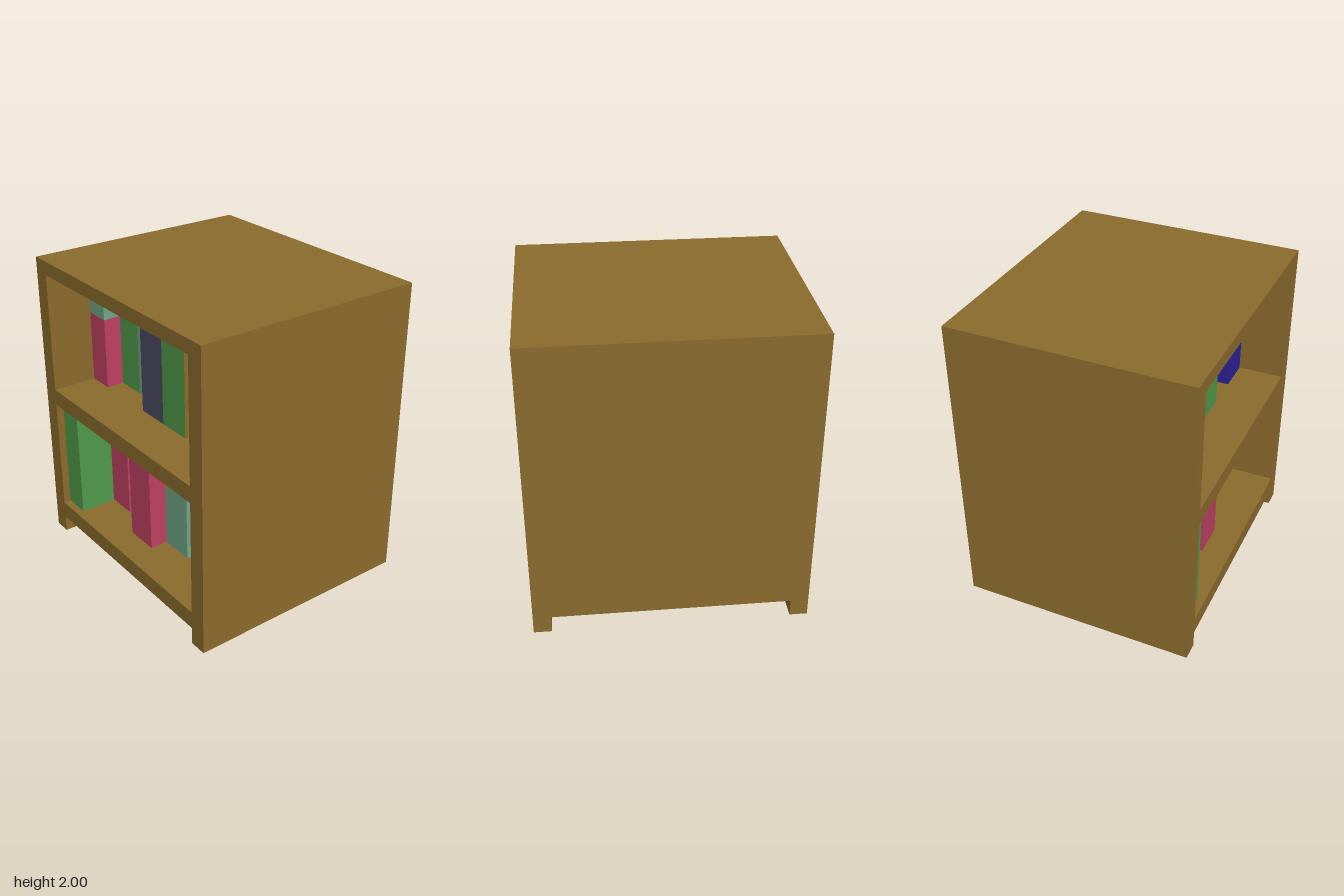
import * as THREE from 'three';

const mat = (name, color) => {
  const m = new THREE.MeshStandardMaterial({ color });
  m.name = name;
  return m;
};

export function createModel() {
  const wood = mat('wood', 0x8b6b2d);
  const green = mat('green', 0x50994a);
  const red = mat('red', 0xbe4060);
  const sage = mat('sage', 0x72a487);
  const slate = mat('slate', 0x4b4a62);
  const blue = mat('blue', 0x2d2097);

  const model = new THREE.Group();
  model.name = 'bookcase';

  const W = 0.88, D = 0.77, IN = 0.765, BACK = -0.65;
  const shelves = [[0.23, 1.0], [1.11, 1.91]];

  // Outline with two side feet
  const outline = () => new THREE.Shape([
    [-W, 0], [-IN, 0], [-IN, 0.115], [IN, 0.115], [IN, 0], [W, 0], [W, 2], [-W, 2],
  ].map(([x, y]) => new THREE.Vector2(x, y)));

  const slab = (name, shape, z0, z1) => {
    const geo = new THREE.ExtrudeGeometry(shape, { depth: z1 - z0, bevelEnabled: false });
    geo.translate(0, 0, z0);
    const mesh = new THREE.Mesh(geo, wood);
    mesh.name = name;
    model.add(mesh);
  };

  // Frame with two shelf openings, closed by a back panel
  const frame = outline();
  for (const [y0, y1] of shelves) {
    frame.holes.push(new THREE.Path(
      [[-IN, y0], [-IN, y1], [IN, y1], [IN, y0]].map(([x, y]) => new THREE.Vector2(x, y))));
  }
  slab('frame', frame, BACK, D);
  slab('backPanel', outline(), -D, BACK);

  const box = (name, material, x0, x1, y0, y1, zFront) => {
    const geo = new THREE.BoxGeometry(x1 - x0, y1 - y0, zFront - BACK);
    geo.translate((x0 + x1) / 2, (y0 + y1) / 2, (zFront + BACK) / 2);
    const mesh = new THREE.Mesh(geo, material);
    mesh.name = name;
    model.add(mesh);
  };

  // Books: shared column edges, with a colour and front depth for each
  const edges = [-IN, -0.59, -0.385, -0.165, 0.065, 0.3, 0.53, IN];
  const woodSided = [wood, green, green, green, green, green];
  const rows = [
    [[green, 0.72], [red, 0.47], [green, 0.35], [red, 0.59], [sage, 0.47], [green, 0.36], [slate, 0.47]],
    [null, [green, 0.35], [sage, 0.35], [slate, 0.47], [woodSided, 0.47], [green, 0.36], [blue, 0.47]],
  ];
  rows.forEach((row, r) => row.forEach((book, i) => {
    if (book) box(`${r ? 'upper' : 'lower'}Book${i + 1}`, book[0], edges[i], edges[i + 1], ...shelves[r], book[1]);
  }));

  // Striped book, stacked in three colour bands
  const bands = [[red, 1.11, 1.59], [sage, 1.59, 1.71], [red, 1.71, 1.91]];
  bands.forEach(([m, y0, y1], i) => box(`stripedBookBand${i + 1}`, m, edges[0], edges[1], y0, y1, 0.47));

  return model;
}
